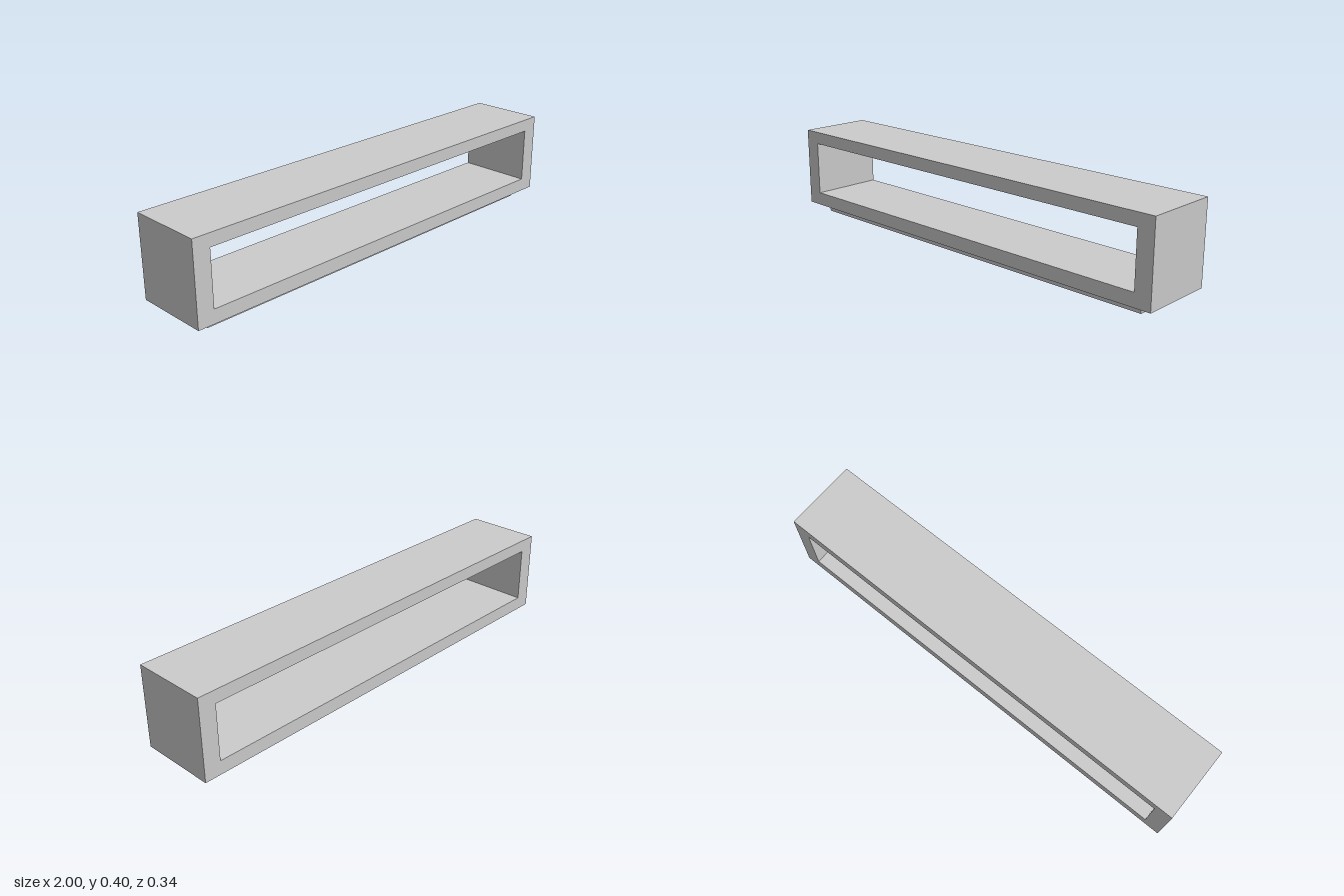
import * as THREE from 'three';

// Rectangle outline from two corners
function rect(Type, x0, y0, x1, y1) {
  const r = new Type();
  r.moveTo(x0, y0);
  r.lineTo(x1, y0);
  r.lineTo(x1, y1);
  r.lineTo(x0, y1);
  r.closePath();
  return r;
}

export function createModel() {
  const group = new THREE.Group();
  const grey = new THREE.MeshStandardMaterial({ color: 0xcccccc });
  grey.name = 'light grey';

  // Open box frame, see-through from front to back
  const depth = 0.335;
  const outline = rect(THREE.Shape, -1, 0.042, 1, 0.402);
  outline.holes.push(rect(THREE.Path, -0.926, 0.102, 0.926, 0.346));
  const frameGeometry = new THREE.ExtrudeGeometry(outline, { depth, bevelEnabled: false });
  frameGeometry.translate(0, 0, -depth / 2);
  const frame = new THREE.Mesh(frameGeometry, grey);
  frame.name = 'frame';
  group.add(frame);

  // Recessed plinth under the frame
  const plinth = new THREE.Mesh(new THREE.BoxGeometry(1.844, 0.042, 0.223), grey);
  plinth.name = 'plinth';
  plinth.position.y = 0.021;
  group.add(plinth);

  return group;
}
